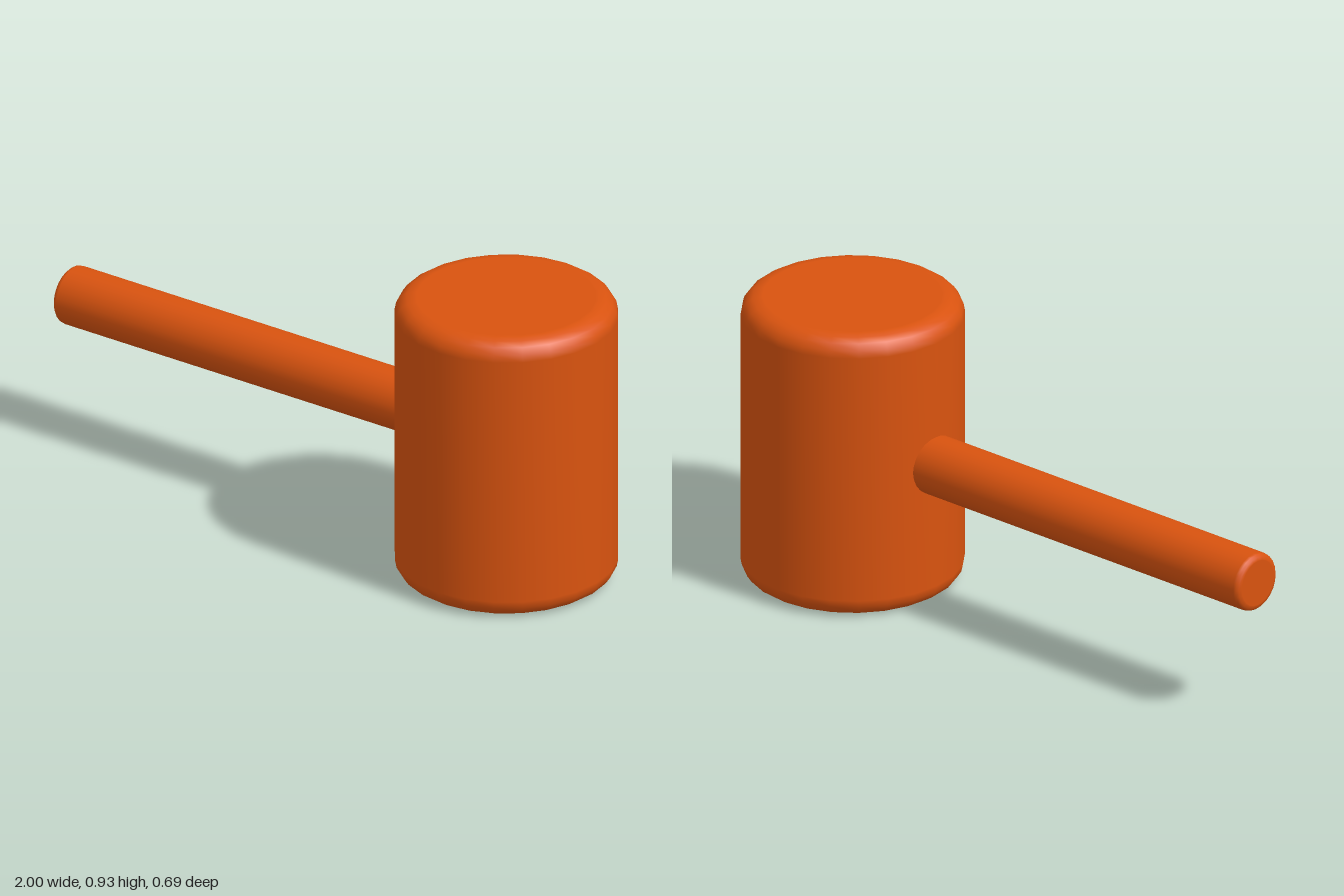
import * as THREE from 'three';

const wood = new THREE.MeshStandardMaterial({ color: 0xd9530f });

// Closed cylinder standing on y = 0 with rounded rims
function roundedCylinder(radius, height, fillet, sides, steps) {
  const points = [new THREE.Vector2(0, 0), new THREE.Vector2((radius - fillet) * 0.97, 0)];
  for (const [centreY, start] of [[fillet, -Math.PI / 2], [height - fillet, 0]]) {
    for (let i = 0; i <= steps; i++) {
      const a = start + (i / steps) * (Math.PI / 2);
      points.push(new THREE.Vector2(radius - fillet + fillet * Math.cos(a), centreY + fillet * Math.sin(a)));
    }
  }
  points.push(new THREE.Vector2((radius - fillet) * 0.97, height), new THREE.Vector2(0, height));
  return new THREE.LatheGeometry(points, sides);
}

export function createModel() {
  const mallet = new THREE.Group();
  mallet.name = 'mallet';

  // Upright barrel-shaped head
  const head = new THREE.Mesh(roundedCylinder(0.343, 0.93, 0.06, 24, 4), wood);
  head.name = 'head';
  head.position.x = 0.657;
  mallet.add(head);

  // Handle lying along x, set into the side of the head
  const handle = new THREE.Mesh(roundedCylinder(0.093, 1.5, 0.018, 24, 3), wood);
  handle.name = 'handle';
  handle.rotation.z = -Math.PI / 2;
  handle.position.set(-1, 0.465, 0);
  mallet.add(handle);

  return mallet;
}
